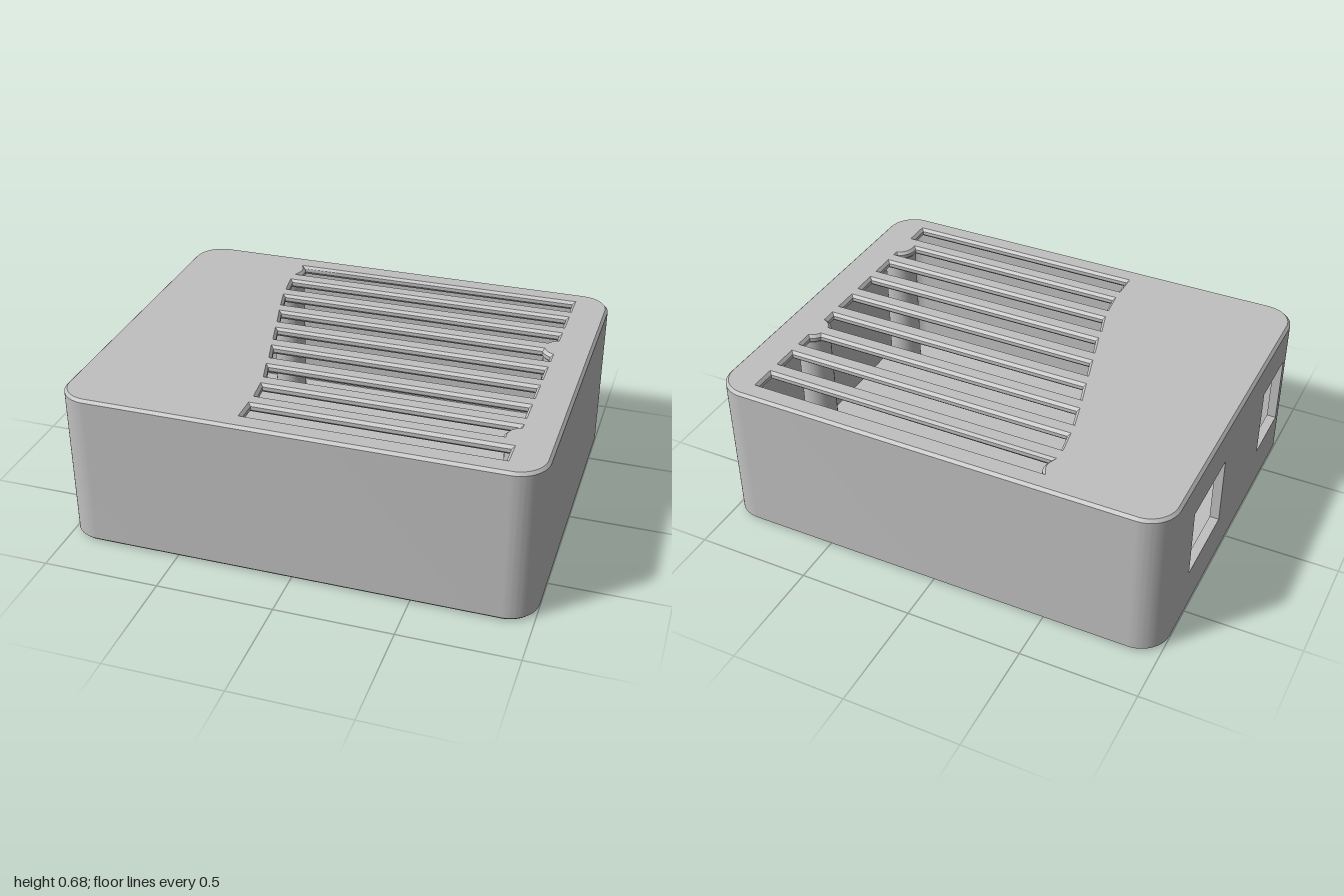
import * as THREE from 'three';
import { toCreasedNormals } from 'three/addons/utils/BufferGeometryUtils.js';

const HX = 1, HZ = 0.79, TOP = 0.683;      // half width, half depth, height
const R = 0.13, WALL = 0.04, BEVEL = 0.012;
const CX = HX - R, CZ = HZ - R;            // corner centres
const PLATE = 0.016;                       // straight part of lid and floor
const WALL_Y0 = BEVEL + PLATE, WALL_Y1 = TOP - BEVEL - PLATE;

// The four rounded corners: centre x, centre z, start angle (walked clockwise)
const CORNERS = [[-CX, CZ, Math.PI], [CX, CZ, Math.PI / 2], [CX, -CZ, 0], [-CX, -CZ, -Math.PI / 2]];

function outline(path, r, reverse = false) {
  for (const [x, z, a] of reverse ? [...CORNERS].reverse() : CORNERS) {
    if (reverse) path.absarc(x, z, r, a - Math.PI / 2, a, false);
    else path.absarc(x, z, r, a, a - Math.PI / 2, true);
  }
  return path;
}

// Points on a circle round c, from offset p to offset q the short way
function arc(c, p, q, n = 10) {
  const a = Math.atan2(p[1], p[0]), r = Math.hypot(...p);
  let d = Math.atan2(q[1], q[0]) - a;
  if (d > Math.PI) d -= 2 * Math.PI;
  if (d < -Math.PI) d += 2 * Math.PI;
  return Array.from({ length: n + 1 }, (_, i) =>
    [c[0] + r * Math.cos(a + d * i / n), c[1] + r * Math.sin(a + d * i / n)]);
}

// Shapes are drawn in x, z and extruded downward from y = top
function slab(shape, top, depth, bevel) {
  const g = new THREE.ExtrudeGeometry(shape, {
    depth, curveSegments: 14, bevelEnabled: bevel > 0, bevelSegments: 1,
    bevelThickness: bevel, bevelSize: bevel, bevelOffset: -bevel,
  });
  g.rotateX(Math.PI / 2).translate(0, top - bevel, 0);
  return toCreasedNormals(g, 0.5);
}

// Screw pillars, which bite into some of the vent slots
const PILLARS = [[0.865, -0.24], [0.865, 0.525], [-0.515, -0.653]];
const BITE = 0.078;

// Left ends of the nine slots, at their back and front edges
const LEFT = [[-0.46, -0.46], [-0.455, -0.441], [-0.431, -0.408], [-0.391, -0.365],
  [-0.348, -0.323], [-0.306, -0.28], [-0.268, -0.242], [-0.231, -0.221], [-0.22, -0.22]];
const RIGHT = 0.836, HALF = 0.045, PITCH = 0.1635;

function ventSlot(i) {
  const z = (i - 4) * PITCH, z0 = z - HALF, z1 = z + HALF, [l0, l1] = LEFT[i];
  // Offsets where a pillar's circle meets the right end or a long edge
  const onEnd = (c, s) => [RIGHT - c[0], s * Math.sqrt(BITE ** 2 - (RIGHT - c[0]) ** 2)];
  const onEdge = (c, e, s) => [s * Math.sqrt(BITE ** 2 - (e - c[1]) ** 2), e - c[1]];
  let backRight = [[RIGHT, z0]], frontRight = [[RIGHT, z1]], left = [[l1, z1], [l0, z0]];
  const [a, b, c] = PILLARS;
  if (i === 0) left = arc(c, onEdge(c, z1, 1), onEdge(c, z0, 1));
  if (i === 2) frontRight = arc(a, onEnd(a, -1), onEdge(a, z1, -1));
  if (i === 3) backRight = arc(a, onEdge(a, z0, -1), onEnd(a, 1));
  if (i === 7) frontRight = arc(b, onEnd(b, -1), onEdge(b, z1, -1));
  const pts = [...backRight, ...frontRight, ...left].map(p => new THREE.Vector2(...p));
  return new THREE.Path(pts);
}

export function createModel() {
  const model = new THREE.Group();
  model.name = 'ventedEnclosure';
  const grey = new THREE.MeshStandardMaterial({ color: 0xc0c0c0 });
  grey.name = 'lightGrey';
  const add = (name, geometry) => {
    const mesh = new THREE.Mesh(geometry, grey);
    mesh.name = name;
    model.add(mesh);
    return mesh;
  };

  // Lid with chamfered edge and nine vent slots
  const lid = outline(new THREE.Shape(), R);
  for (let i = 0; i < LEFT.length; i++) lid.holes.push(ventSlot(i));
  add('lid', slab(lid, TOP, PLATE, BEVEL));

  // Floor
  add('floor', slab(outline(new THREE.Shape(), R), WALL_Y0 + BEVEL, PLATE, BEVEL));

  // Front, back and +x walls in one piece with all four corners
  const ring = outline(new THREE.Shape(), R);
  outline(ring, R - WALL, true);
  add('walls', slab(ring, WALL_Y1, WALL_Y1 - WALL_Y0, 0));

  // The -x wall with two port openings, drawn in z, y
  const rect = (path, z0, z1, y0, y1) =>
    path.moveTo(z0, y0).lineTo(z1, y0).lineTo(z1, y1).lineTo(z0, y1).closePath();
  const panel = new THREE.Shape();
  rect(panel, -CZ, CZ, WALL_Y0, WALL_Y1);
  for (const [z0, z1] of [[-0.485, -0.13], [0.37, 0.64]]) {
    const hole = new THREE.Path();
    rect(hole, z0, z1, 0.2, 0.51);
    panel.holes.push(hole);
  }
  const portWall = new THREE.ExtrudeGeometry(panel, { depth: WALL, bevelEnabled: false });
  portWall.rotateY(-Math.PI / 2).translate(-HX + WALL, 0, 0);
  add('portWall', portWall);

  // Screw pillars between floor and lid
  const h = TOP - 0.07;
  for (const [x, z] of PILLARS)
    add('screwPillar', new THREE.CylinderGeometry(0.072, 0.072, h, 32)).position.set(x, 0.035 + h / 2, z);

  return model;
}
